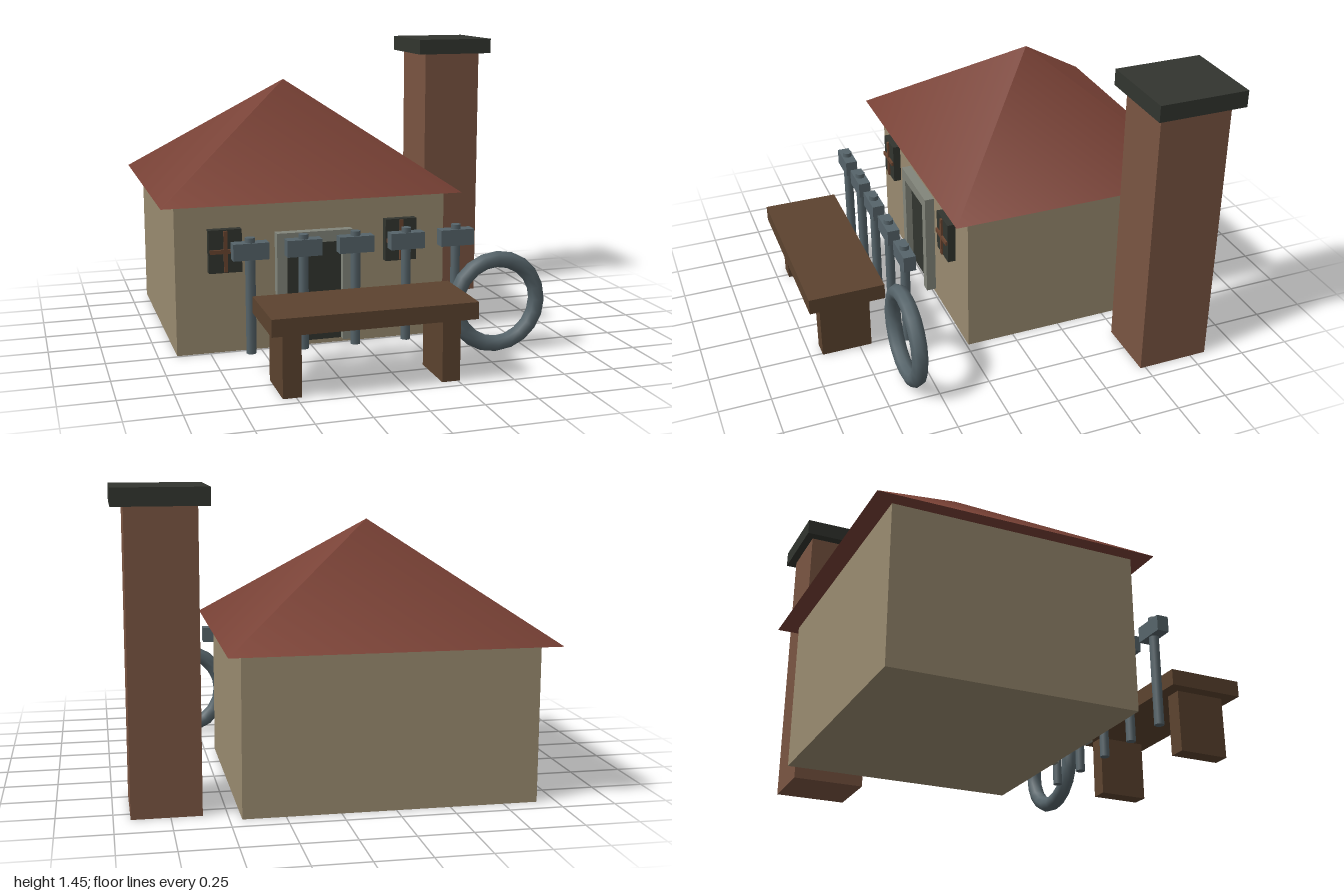
import * as THREE from 'three';

const mat = (color) => new THREE.MeshStandardMaterial({ color });
const WALL = mat(0x9a8b70), ROOF = mat(0x7a4236), BRICK = mat(0x7a5542), DARK = mat(0x32352f),
  WOOD = mat(0x5c432f), STONE = mat(0x82857a), METAL = mat(0x56646a), BAR = mat(0x6a4530);

function add(parent, name, geometry, material) {
  const mesh = new THREE.Mesh(geometry, material);
  mesh.name = name;
  parent.add(mesh);
  return mesh;
}

// Box given by its lower and upper limit on each axis
function box(parent, name, material, [x0, x1], [y0, y1], [z0, z1]) {
  const mesh = add(parent, name, new THREE.BoxGeometry(x1 - x0, y1 - y0, z1 - z0), material);
  mesh.position.set((x0 + x1) / 2, (y0 + y1) / 2, (z0 + z1) / 2);
  return mesh;
}

function subgroup(parent, name, x = 0, y = 0, z = 0) {
  const group = new THREE.Group();
  group.name = name;
  group.position.set(x, y, z);
  parent.add(group);
  return group;
}

export function createModel() {
  const model = new THREE.Group();
  model.name = 'smithy';
  const houseX = -0.235;

  // House body and hipped roof
  box(model, 'walls', WALL, [-0.91, 0.445], [0, 0.74], [-0.91, 0.24]);
  const roofGeometry = new THREE.ConeGeometry(Math.SQRT1_2, 0.525, 4);
  roofGeometry.rotateY(Math.PI / 4).scale(1.49, 1, 1.32);
  add(model, 'roof', roofGeometry, ROOF).position.set(houseX, 0.9985, -0.34);

  // Free-standing chimney with a cap
  const chimney = subgroup(model, 'chimney');
  box(chimney, 'chimneyStack', BRICK, [0.61, 0.925], [0, 1.365], [-0.83, -0.475]);
  box(chimney, 'chimneyCap', DARK, [0.56, 0.98], [1.365, 1.445], [-0.87, -0.435]);

  // Doorway: stone jambs and lintel around a recessed door
  const doorway = subgroup(model, 'doorway', houseX);
  for (const s of [-1, 1]) {
    const jamb = box(doorway, 'doorJamb', STONE, [0.14, 0.19], [0.025, 0.525], [0.24, 0.29]);
    jamb.position.x *= s;
  }
  box(doorway, 'doorLintel', STONE, [-0.19, 0.19], [0.525, 0.58], [0.24, 0.29]);
  box(doorway, 'door', DARK, [-0.14, 0.14], [0.025, 0.525], [0.235, 0.255]);

  // Windows with crossed glazing bars
  for (const s of [-1, 1]) {
    const frame = subgroup(model, 'window', houseX + s * 0.44, 0.51);
    box(frame, 'windowPane', DARK, [-0.08, 0.08], [-0.105, 0.105], [0.245, 0.285]);
    box(frame, 'uprightBar', BAR, [-0.009, 0.009], [-0.1, 0.1], [0.27, 0.295]);
    box(frame, 'crossBar', BAR, [-0.075, 0.075], [-0.01, 0.01], [0.27, 0.295]);
  }

  // Row of hammers in front of the wall
  for (let i = 0; i < 5; i++) {
    const hammer = subgroup(model, 'hammer', -0.61 + i * 0.25, 0, 0.54);
    const handle = add(hammer, 'hammerHandle', new THREE.CylinderGeometry(0.024, 0.024, 0.545, 8), METAL);
    handle.position.y = 0.3575;
    box(hammer, 'hammerHead', METAL, [-0.083, 0.083], [0.53, 0.608], [-0.03, 0.03]);
  }

  // Workbench
  const bench = subgroup(model, 'workbench', -0.15);
  box(bench, 'benchTop', WOOD, [-0.47, 0.47], [0.3, 0.378], [0.625, 1]);
  for (const s of [-1, 1]) {
    const leg = box(bench, 'benchLeg', WOOD, [0.325, 0.41], [0, 0.3], [0.69, 0.94]);
    leg.position.x *= s;
  }

  // Iron ring standing on the ground
  const ring = add(model, 'ironRing', new THREE.TorusGeometry(0.21, 0.04, 8, 20), METAL);
  ring.position.set(0.58, 0.25, 0.605);

  return model;
}
